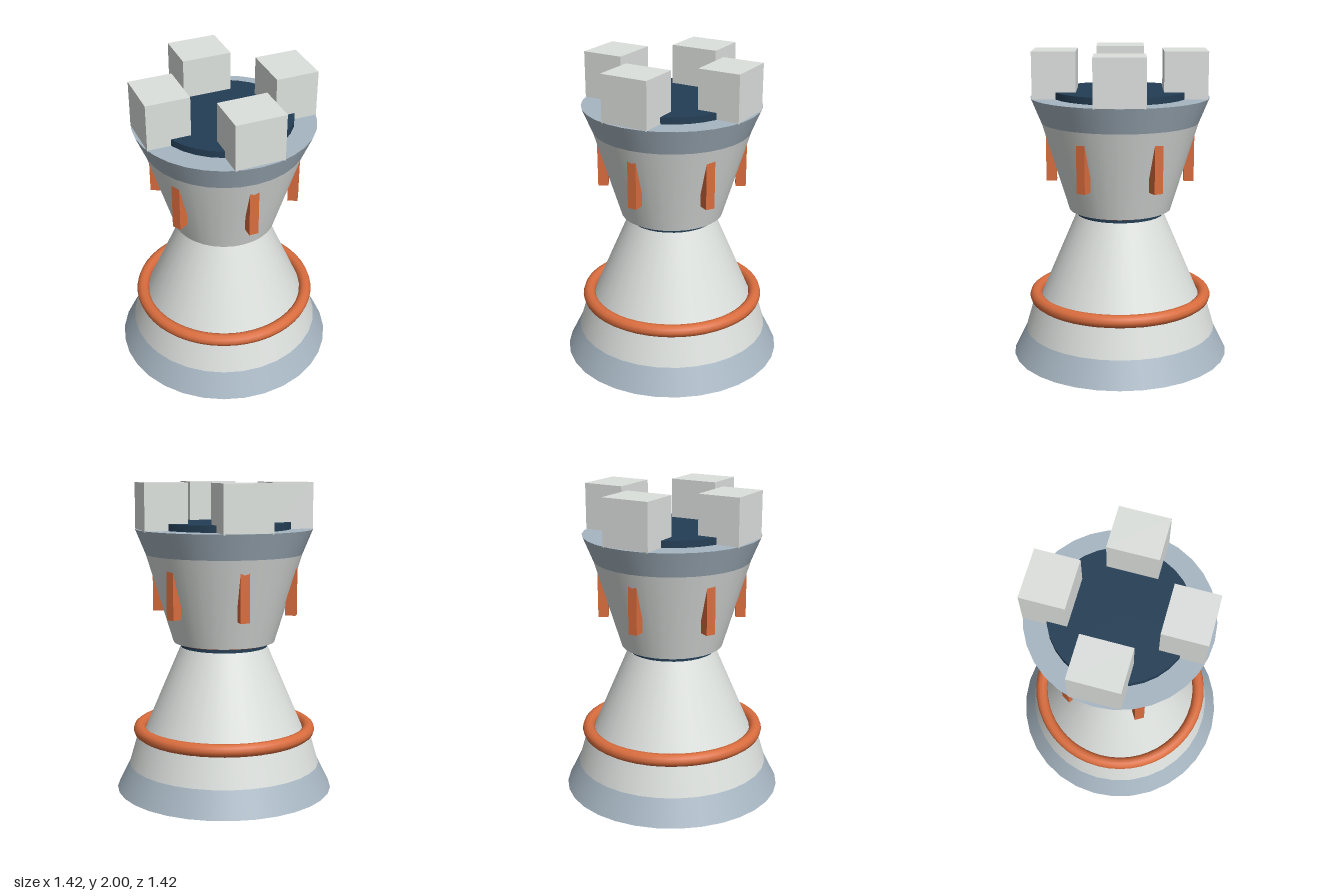
import * as THREE from 'three';

const material = (name, color) => new THREE.MeshStandardMaterial({ name, color });

export function createModel() {
  const model = new THREE.Group();
  model.name = 'rookTower';

  const white = material('offWhite', 0xdde1de);
  const grey = material('blueGrey', 0xa7b6c2);
  const navy = material('navy', 0x243e55);
  const orange = material('orange', 0xda6d3e);

  const add = (name, geometry, mat, parent = model) => {
    const mesh = new THREE.Mesh(geometry, mat);
    mesh.name = name;
    parent.add(mesh);
    return mesh;
  };

  // Tapered round section between two heights
  const section = (name, mat, y0, r0, y1, r1) => {
    const mesh = add(name, new THREE.CylinderGeometry(r1, r0, y1 - y0, 32), mat);
    mesh.position.y = (y0 + y1) / 2;
  };

  // Horizontal ring
  const ring = (name, y, radius, tube) => {
    const mesh = add(name, new THREE.TorusGeometry(radius, tube, 10, 48), orange);
    mesh.rotation.x = Math.PI / 2;
    mesh.position.y = y;
  };

  // Base and body
  section('baseFoot', grey, 0, 0.71, 0.165, 0.628);
  section('lowerBody', white, 0.165, 0.628, 0.39, 0.562);
  section('upperBody', white, 0.39, 0.522, 0.942, 0.285);
  ring('bodyRing', 0.392, 0.558, 0.041);

  // Neck
  section('neck', navy, 0.93, 0.283, 1.0, 0.283);
  ring('neckRing', 0.985, 0.302, 0.018);

  // Flared head
  section('headCup', white, 0.975, 0.33, 1.545, 0.504);
  section('headRim', grey, 1.545, 0.504, 1.705, 0.57);
  section('topPlate', navy, 1.69, 0.43, 1.748, 0.43);

  // Four battlements on the rim
  for (let i = 0; i < 4; i++) {
    const pivot = new THREE.Group();
    pivot.name = 'battlement';
    pivot.rotation.y = (i * Math.PI) / 2;
    add('battlementBlock', new THREE.BoxGeometry(0.315, 0.3, 0.274), white, pivot).position.set(0, 1.85, 0.411);
    model.add(pivot);
  }

  // Six upright fins around the cup
  for (let i = 0; i < 6; i++) {
    const pivot = new THREE.Group();
    pivot.name = 'fin';
    pivot.rotation.y = (i * Math.PI) / 3;
    add('finBar', new THREE.BoxGeometry(0.06, 0.305, 0.065), orange, pivot).position.set(0, 1.3125, 0.4435);
    model.add(pivot);
  }

  return model;
}
